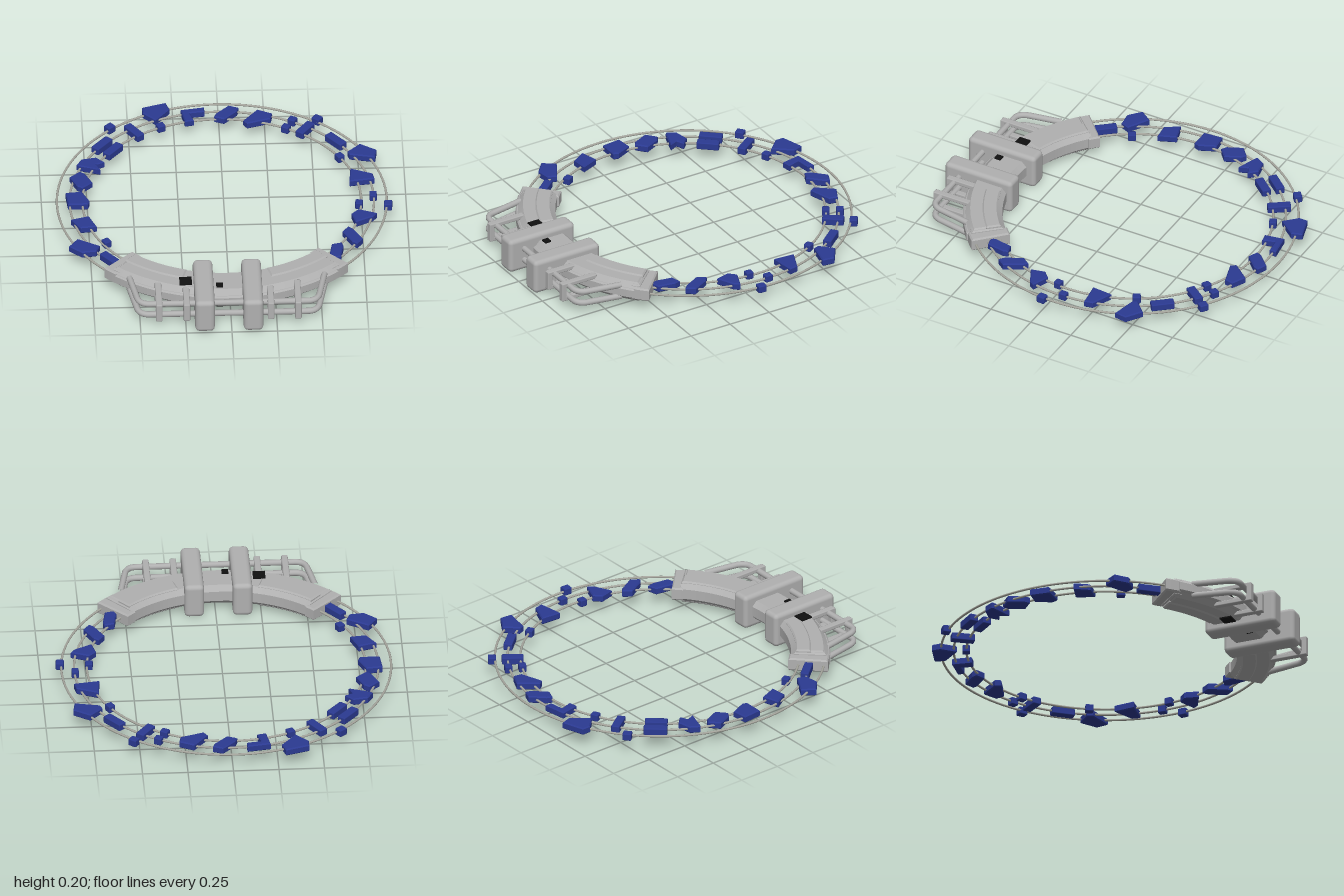
import * as THREE from 'three';
import { RoundedBoxGeometry } from 'three/addons/geometries/RoundedBoxGeometry.js';

const CX = -0.015, CY = 0.1, CZ = -0.085; // centre of the rings
const DEG = Math.PI / 180;

export function createModel() {
  const model = new THREE.Group();
  const make = (name, color) => {
    const m = new THREE.MeshStandardMaterial({ color });
    m.name = name;
    return m;
  };
  const metal = make('grey metal', 0xb0b0b0);
  const wire = make('wire grey', 0xa6a69e);
  const blue = make('blue stone', 0x2b3a92);
  const black = make('black', 0x101010);

  const add = (name, geometry, material, x = 0, y = 0, z = 0, parent = model) => {
    const mesh = new THREE.Mesh(geometry, material);
    mesh.name = name;
    mesh.position.set(x, y, z);
    parent.add(mesh);
    return mesh;
  };

  // Plan outline (x, -z) raised into a bevelled plate centred on y = 0
  const plate = (shape, height, bevel, curveSegments = 32) => {
    const g = new THREE.ExtrudeGeometry(shape, {
      depth: height - 2 * bevel, bevelEnabled: true, bevelThickness: bevel, bevelSize: bevel,
      bevelOffset: -bevel, bevelSegments: 1, curveSegments,
    });
    g.translate(0, 0, bevel - height / 2);
    return g.rotateX(-Math.PI / 2);
  };

  // Ring sector, angles in degrees either side of the front
  const sector = (r0, r1, a0, a1, height, bevel) => {
    const s = new THREE.Shape();
    const from = (a0 - 90) * DEG, to = (a1 - 90) * DEG;
    s.absarc(0, 0, r1, from, to, false);
    s.absarc(0, 0, r0, to, from, true);
    s.closePath();
    return plate(s, height, bevel);
  };

  // Three wire rings
  for (const r of [0.765, 0.835, 0.905]) {
    const ring = new THREE.TorusGeometry(r, 0.0065, 8, 128).rotateX(Math.PI / 2);
    add('wireRing', ring, wire, CX, CY, CZ);
  }

  // Curved clasp body, outer belt, raised shoulders and end collars
  add('claspBody', sector(0.72, 0.925, -43, 43, 0.115, 0.028), metal, CX, CY, CZ);
  add('claspBelt', sector(0.88, 0.937, -41, 41, 0.06, 0.008), metal, CX, CY, CZ);
  for (const side of [-1, 1]) {
    const span = (a, b) => (side > 0 ? [a, b] : [-b, -a]);
    add('shoulderPlate', sector(0.745, 0.83, ...span(17, 42), 0.13, 0.008), metal, CX, CY, CZ);
    add('endCollar', sector(0.71, 0.93, ...span(41, 46), 0.075, 0.008), metal, CX, CY, CZ);
    add('collarLip', sector(0.735, 0.915, ...span(39.5, 42.5), 0.1, 0.008), metal, CX, CY, CZ);
  }

  // Two large rounded clamps
  for (const x of [-0.147, 0.119]) {
    add('clamp', new RoundedBoxGeometry(0.108, 0.2, 0.42, 2, 0.025), metal, x, CY, 0.79);
  }

  // Guard rails bent around the front, upper and lower
  for (const y of [0.065, 0.135]) {
    const path = new THREE.CurvePath();
    const p = (x, z) => new THREE.Vector3(x, y, z);
    path.add(new THREE.LineCurve3(p(-0.55, 0.66), p(-0.515, 0.85)));
    path.add(new THREE.QuadraticBezierCurve3(p(-0.515, 0.85), p(-0.502, 0.907), p(-0.45, 0.907)));
    path.add(new THREE.LineCurve3(p(-0.45, 0.907), p(0.42, 0.907)));
    path.add(new THREE.QuadraticBezierCurve3(p(0.42, 0.907), p(0.472, 0.907), p(0.485, 0.85)));
    path.add(new THREE.LineCurve3(p(0.485, 0.85), p(0.52, 0.66)));
    // Side legs lean outwards, so the sides are short straight runs
    add('guardRail', new THREE.TubeGeometry(path, 120, 0.017, 10), metal);
  }

  // Clips holding the rails to the body
  for (const x of [-0.397, -0.245, 0.217, 0.367]) {
    const clip = new THREE.Group();
    clip.name = 'railClip';
    model.add(clip);
    for (const y of [0.058, 0.142]) {
      add('clipArm', new RoundedBoxGeometry(0.036, 0.026, 0.22, 1, 0.006), metal, x, y, 0.84, clip);
    }
    add('clipFront', new RoundedBoxGeometry(0.036, 0.11, 0.03, 1, 0.006), metal, x, CY, 0.938, clip);
  }

  // Square black marks on the top and bottom of the body
  for (const [x, z, size] of [[-0.245, 0.74, 0.068], [-0.06, 0.785, 0.037]]) {
    for (const side of [-1, 1]) {
      add('blackMark', new THREE.BoxGeometry(size, 0.008, size), black, x, CY + side * 0.064, z);
    }
  }

  // Blue stones threaded on the wires; outlines in hundredths, x then z
  const stone = (name, points) => {
    const shape = new THREE.Shape(points.map(([x, z]) => new THREE.Vector2(x / 100, -z / 100)));
    add(name, plate(shape, 0.042, 0.006), blue, 0, CY, 0);
  };
  const wedges = [
    [[-42, -95], [-29, -99], [-27, -93], [-35, -83], [-42, -90]],
    [[13, -81], [21, -91], [29, -87], [28, -82], [15, -78]],
    [[69, -50], [76, -57], [85, -51], [84, -44], [70, -47]],
    [[70, -34], [82, -29], [83, -24], [69, -22]],
    [[69, 8], [73, 4], [83, 8], [81, 11], [71, 16]],
    [[-87, 33], [-82, 26], [-70, 33], [-72, 38], [-80, 39]],
    [[-85, 8], [-75, 5], [-71, 15], [-80, 16]],
    [[-87, -17], [-78, -18], [-74, -9], [-75, -6], [-86, -6]],
  ];
  wedges.forEach((w) => stone('wedgeStone', w));
  stone('angleStone', [[-21, -92], [-8, -94], [-8, -90], [-16, -89], [-14, -82], [-19, -81]]);
  stone('notchedStone', [[-80, -43], [-77, -48], [-69, -49.5], [-64.5, -45], [-69, -43], [-67, -38], [-79, -42]]);

  // Six-sided stones: x, z, length, width, heading (dx, dz)
  const crystals = [
    [4, -89, 15.5, 7, 1, -1],
    [69, 28, 16.5, 6.5, 15, 28],
    [59.5, 42, 15.5, 6.5, -5, 29],
    [-78, -29, 14.5, 9, 11, 24],
  ];
  for (const [x, z, len, w, dx, dz] of crystals) {
    const n = Math.hypot(dx, dz), u = dx / n, v = dz / n;
    const local = [[-0.5, -0.3], [-0.3, -0.5], [0.35, -0.5], [0.5, 0.3], [0.3, 0.5], [-0.35, 0.5]];
    stone('crystalStone', local.map(([a, b]) =>
      [x + a * len * u - b * w * v, z + a * len * v + b * w * u]));
  }

  // Bars and small beads: x, z, length, width, 1 when pointing at the centre
  const bars = [
    [0.467, -0.733, 0.12, 0.05, 1], [0.63, -0.62, 0.13, 0.05, 0],
    [-0.652, -0.627, 0.13, 0.05, 0], [-0.594, -0.574, 0.125, 0.05, 0],
    [-0.472, -0.743, 0.13, 0.048, 1], [-0.646, 0.442, 0.13, 0.048, 0],
    [0.4, -0.817, 0.045, 0.042, 0], [0.362, -0.749, 0.045, 0.042, 0],
    [0.536, -0.823, 0.05, 0.045, 0], [0.646, -0.468, 0.045, 0.042, 0],
    [0.816, -0.103, 0.045, 0.04, 0], [0.736, -0.029, 0.042, 0.042, 0],
    [0.895, -0.013, 0.048, 0.045, 0], [-0.662, 0.283, 0.045, 0.042, 0],
    [-0.325, -0.786, 0.045, 0.042, 0], [-0.604, -0.786, 0.05, 0.045, 0],
  ];
  for (const [x, z, len, w, radial] of bars) {
    const bar = add('barStone', new RoundedBoxGeometry(len, 0.042, w, 1, 0.006), blue, x, CY, z);
    bar.rotation.y = Math.atan2(x - CX, z - CZ) + (radial ? Math.PI / 2 : 0);
  }
  return model;
}
